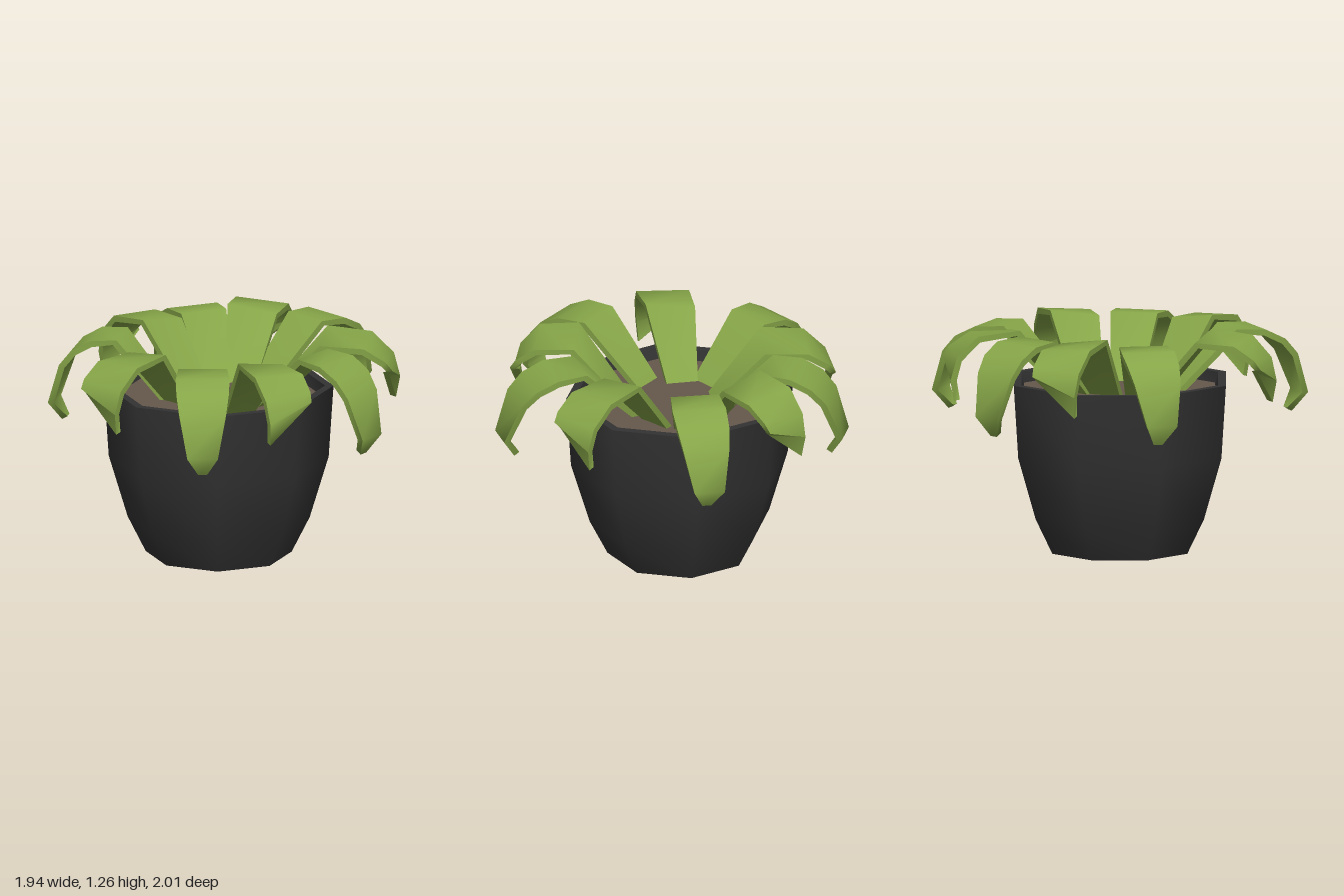
import * as THREE from 'three';
import { toCreasedNormals } from 'three/addons/utils/BufferGeometryUtils.js';

const leafMat = new THREE.MeshStandardMaterial({ color: 0x86a548 });
const potMat = new THREE.MeshStandardMaterial({ color: 0x333333 });
const soilMat = new THREE.MeshStandardMaterial({ color: 0x66574a });

// Leaf profiles from soil to tip: [fraction of reach, height, half width, share of tip slant]
const shortLeaf = [[0, 0.88, 0.085, 0], [0.44, 1.24, 0.14, -0.2], [0.78, 1.225, 0.15, -0.1],
  [0.95, 1.13, 0.14, 0.1], [1, 1.04, 0.13, 0.5], [0.97, 0.97, 0.12, 1]];
const longLeaf = [[0, 0.88, 0.085, 0], [0.44, 1.23, 0.135, 0], [0.65, 1.22, 0.15, 0],
  [0.8, 1.16, 0.145, 0], [0.9, 1.07, 0.13, 0], [1, 0.84, 0.085, 0], [0.91, 0.73, 0.025, 0]];

// Thick strip that follows a profile from its base to its furthest point in plan.
// skew slants the tip, bow bends the leaf sideways.
function leafGeometry(profile, [bx, bz], [ex, ez], skew, bow) {
  const reach = Math.hypot(ex - bx, ez - bz);
  const dx = (ex - bx) / reach, dz = (ez - bz) / reach;
  const thickness = 0.035, last = profile.length - 1;
  const pos = [], index = [];
  profile.forEach(([t, y, w, slant], i) => {
    const p = profile[Math.max(i - 1, 0)], n = profile[Math.min(i + 1, last)];
    const tr = (n[0] - p[0]) * reach, ty = n[1] - p[1], len = Math.hypot(tr, ty);
    const side = bow * 4 * t * (1 - t);
    for (const [s, depth] of [[-1, 0], [1, 0], [1, thickness], [-1, thickness]]) {
      const r = t * reach + depth * ty / len;
      const across = s * w + side;
      pos.push(bx + dx * r - dz * across, y - depth * tr / len + s * skew * slant, bz + dz * r + dx * across);
    }
    if (i === last) return;
    for (let k = 0; k < 4; k++) {
      const a = i * 4 + k, b = i * 4 + (k + 1) % 4;
      index.push(a, b, b + 4, a, b + 4, a + 4);
    }
  });
  const e = last * 4;
  index.push(0, 2, 1, 0, 3, 2, e, e + 1, e + 2, e, e + 2, e + 3);
  const g = new THREE.BufferGeometry();
  g.setAttribute('position', new THREE.Float32BufferAttribute(pos, 3));
  g.setIndex(index);
  return toCreasedNormals(g, 1.15);
}

// Each leaf: profile, base (x, z), furthest point (x, z), tip slant, sideways bow
const leaves = [
  [longLeaf, [-0.085, -0.2], [-0.07, -1], 0, 0.02],
  [shortLeaf, [0.055, -0.145], [0.64, -0.58], 0.1, 0],
  [longLeaf, [0.16, 0.03], [0.96, -0.08], 0, -0.045],
  [shortLeaf, [0.195, 0.23], [0.81, 0.4], -0.1, 0],
  [longLeaf, [0.04, 0.335], [0.62, 0.9], 0, 0],
  [shortLeaf, [-0.135, 0.31], [-0.11, 1], 0.1, -0.01],
  [longLeaf, [-0.235, 0.285], [-0.83, 0.66], 0, 0.04],
  [shortLeaf, [-0.235, 0.1], [-0.94, 0.05], 0.1, 0],
  [longLeaf, [-0.22, -0.06], [-0.94, -0.35], 0, 0.035],
  [shortLeaf, [-0.18, -0.16], [-0.55, -0.75], 0.1, 0],
];

export function createModel() {
  const group = new THREE.Group();

  // Eight-sided pot: closed base, tapered wall, rim and inner wall
  const outline = [[0, 0], [0.405, 0], [0.505, 0.2], [0.61, 0.55], [0.637, 0.96],
    [0.59, 0.96], [0.565, 0.87]].map(([r, y]) => new THREE.Vector2(r, y));
  const pot = new THREE.Mesh(toCreasedNormals(new THREE.LatheGeometry(outline, 8), 0.9), potMat);
  pot.name = 'pot';
  pot.position.set(-0.08, 0, 0.095);
  group.add(pot);

  const soil = new THREE.Mesh(new THREE.CircleGeometry(0.575, 8).rotateX(-Math.PI / 2), soilMat);
  soil.name = 'soil';
  soil.position.set(-0.08, 0.9, 0.095);
  group.add(soil);

  // Ring of arching leaves
  const foliage = new THREE.Group();
  foliage.name = 'foliage';
  leaves.forEach((spec, i) => {
    const leaf = new THREE.Mesh(leafGeometry(...spec), leafMat);
    leaf.name = `leaf${i + 1}`;
    foliage.add(leaf);
  });
  group.add(foliage);
  return group;
}
